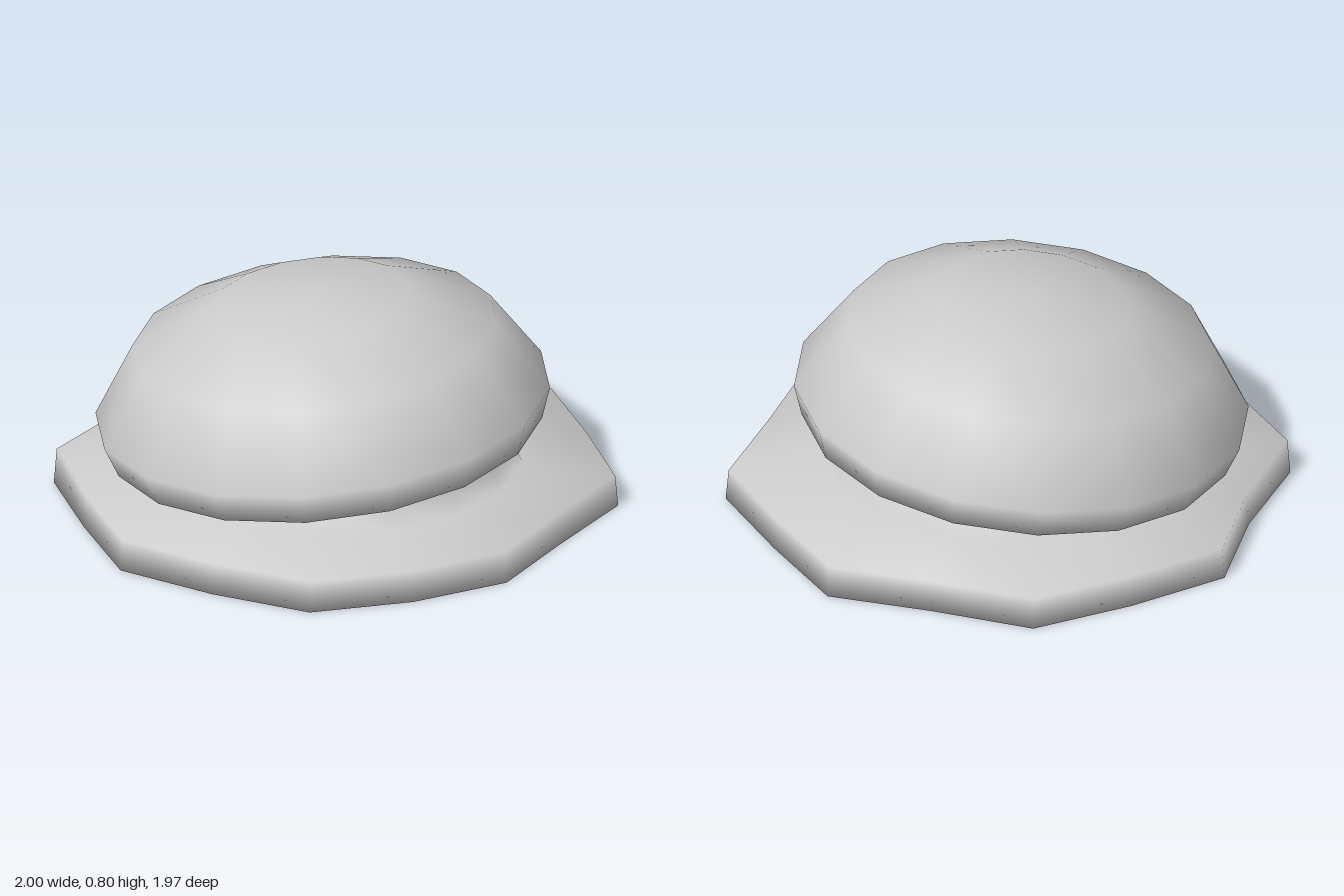
import * as THREE from 'three';
import { mergeVertices } from 'three/addons/utils/BufferGeometryUtils.js';

const SIDES = 16;
const material = new THREE.MeshStandardMaterial({ color: 0xcccccc });

// Lathe a profile of [radius, height] pairs; reshape may move vertices before smoothing
function turned(name, profile, reshape) {
  let geo = new THREE.LatheGeometry(profile.map(([r, y]) => new THREE.Vector2(r, y)), SIDES);
  if (reshape) reshape(geo.attributes.position);
  geo.deleteAttribute('normal');
  geo.deleteAttribute('uv');
  geo = mergeVertices(geo, 1e-4);
  geo.computeVertexNormals();
  const mesh = new THREE.Mesh(geo, material);
  mesh.name = name;
  return mesh;
}

export function createModel() {
  const group = new THREE.Group();
  group.name = 'mushroomButton';

  // Uneven rim radius, stepping round from +z towards +x
  const rim = [0.978, 0.928, 0.945, 0.892, 1, 0.932, 0.994, 0.906,
    0.99, 0.937, 0.994, 0.891, 1, 0.93, 0.986, 0.932];

  // Base plate with a flared neck
  const base = turned('base', [
    [0, 0], [1, 0], [0.99, 0.115], [0.66, 0.157], [0.625, 0.23], [0.57, 0.3], [0, 0.32],
  ], (pos) => {
    for (let i = 0; i < pos.count; i++) {
      const x = pos.getX(i), z = pos.getZ(i);
      if (Math.hypot(x, z) < 0.9) continue;
      const step = Math.round((Math.atan2(x, z) / (2 * Math.PI)) * SIDES + SIDES) % SIDES;
      pos.setX(i, x * rim[step]);
      pos.setZ(i, z * rim[step]);
      // the rim is a little thicker on the -x side
      if (pos.getY(i) > 0.05 && x < -0.95) pos.setY(i, 0.132);
    }
  });

  // Domed cap, tilted up towards +x
  const cap = turned('cap', [
    [0, 0], [0.77, 0], [0.81, 0.115], [0.65, 0.372], [0.352, 0.508], [0, 0.553],
  ]);
  cap.position.set(-0.035, 0.25, 0);
  cap.rotation.z = 0.105;

  group.add(base, cap);
  return group;
}
